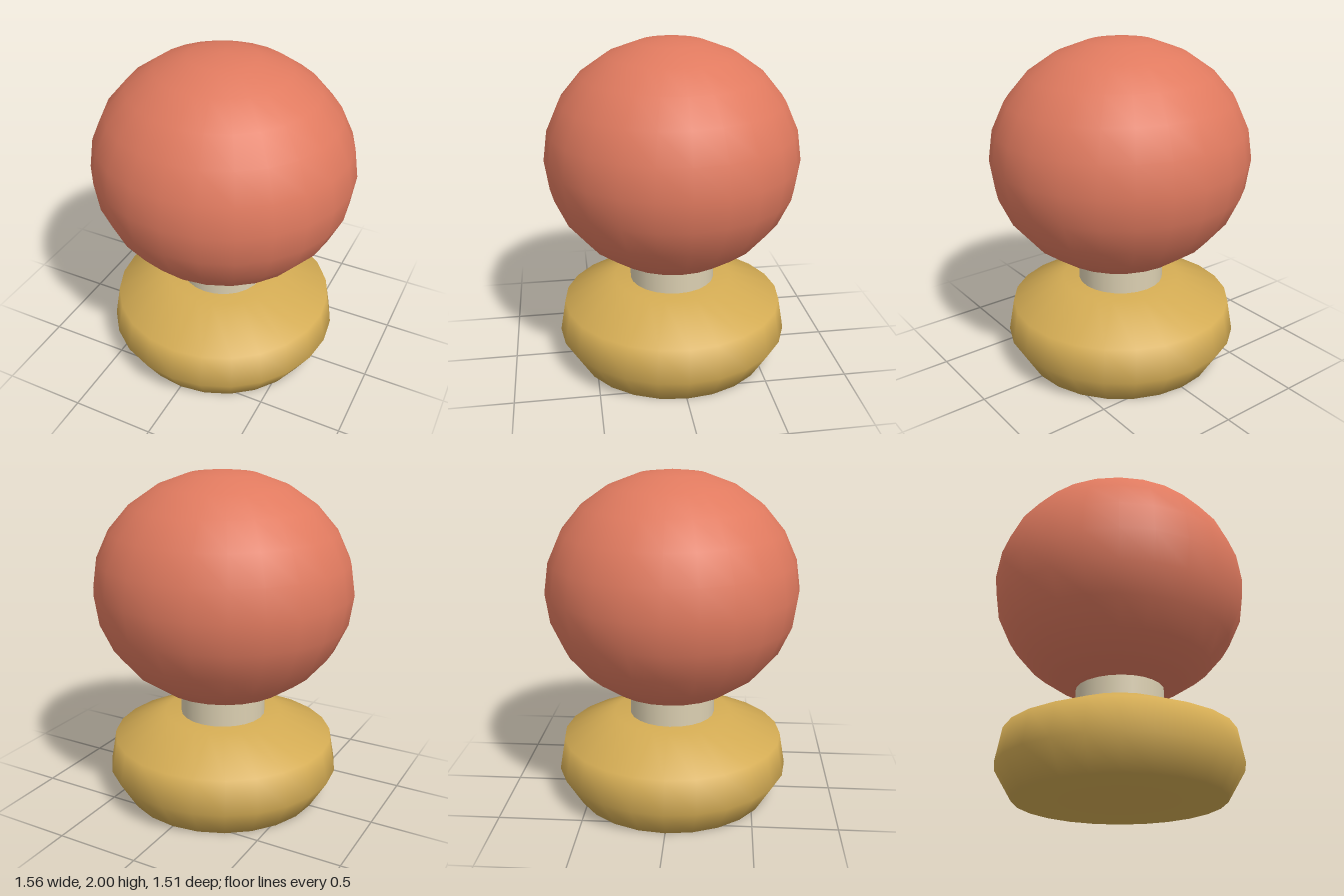
import * as THREE from 'three';

const material = (name, color) => {
  const m = new THREE.MeshStandardMaterial({ color });
  m.name = name;
  return m;
};

export function createModel() {
  const group = new THREE.Group();
  const red = material('coral red', 0xe07a5f);
  const gold = material('gold', 0xd4ac54);
  const cream = material('cream', 0xdcd0b2);

  const add = (name, geometry, mat, y = 0) => {
    const mesh = new THREE.Mesh(geometry, mat);
    mesh.name = name;
    mesh.position.y = y;
    group.add(mesh);
    return mesh;
  };
  const lathe = (points) =>
    new THREE.LatheGeometry(points.map(([r, y]) => new THREE.Vector2(r, y)), 24);

  // Squat rounded foot, closed below and above
  add('base', lathe([[0, 0], [0.605, 0], [0.71, 0.175], [0.675, 0.375], [0.36, 0.512], [0, 0.512]]), gold);

  // Short collar between foot and ball
  add('neck', new THREE.CylinderGeometry(0.262, 0.26, 0.22, 24), cream, 0.59);

  // Slightly flattened ball
  const ball = new THREE.SphereGeometry(1, 24, 12);
  ball.scale(0.782, 0.695, 0.755);
  add('ball', ball, red, 1.305);

  return group;
}
